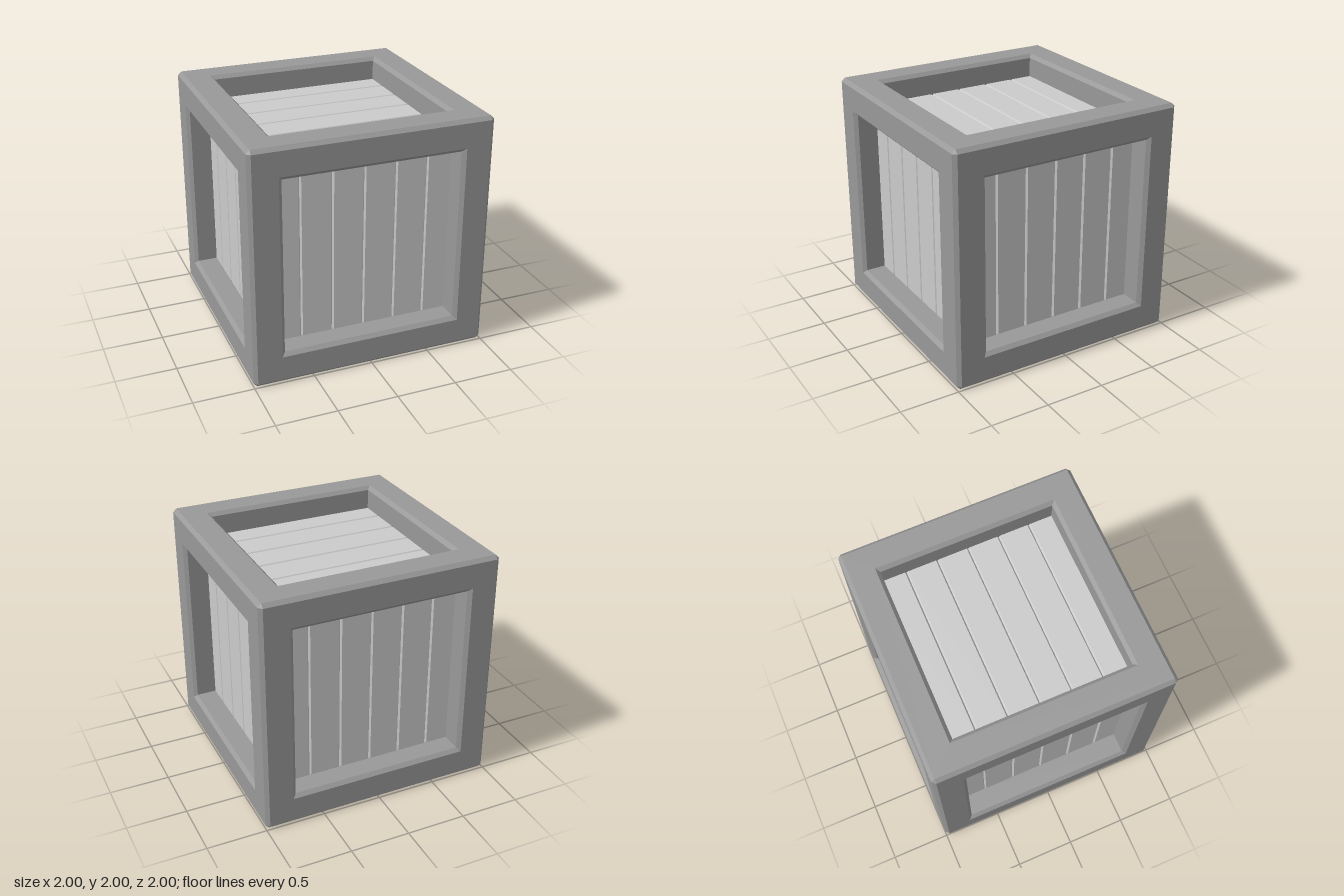
import * as THREE from 'three';

const HALF = 1;        // half the crate's size
const BEVEL = 0.03;    // chamfer on every frame edge
const OPEN = 0.735;    // half width of the recessed opening
const PANEL = 0.8;     // distance of the boards from the centre
const BOARDS = 6;

export function createModel() {
  const frameMat = new THREE.MeshStandardMaterial({ color: 0x999999, flatShading: true });
  const boardMat = new THREE.MeshStandardMaterial({ color: 0xcccccc, flatShading: true });

  const crate = new THREE.Group();
  crate.name = 'crate';
  const body = new THREE.Group();
  body.name = 'body';
  body.position.y = HALF;
  crate.add(body);

  const add = (parent, geometry, material, name) => {
    const mesh = new THREE.Mesh(geometry, material);
    mesh.name = name;
    parent.add(mesh);
    return mesh;
  };

  // Square frame ring: flat face, chamfered opening, recess wall
  const flat = HALF - BEVEL;
  const profile = [[flat, HALF], [OPEN + BEVEL, HALF], [OPEN, flat], [OPEN, PANEL - 0.03]];
  const ringGeo = new THREE.LatheGeometry(
    profile.map(([r, y]) => new THREE.Vector2(r * Math.SQRT2, y)), 4, Math.PI / 4);

  // Board with chamfered upper edges, so neighbours form V grooves
  const width = (2 * PANEL) / BOARDS, w = width / 2, cut = 0.012, drop = 0.015;
  const section = new THREE.Shape([
    [-w, -0.06], [w, -0.06], [w, -drop], [w - cut, 0], [-w + cut, 0], [-w, -drop],
  ].map(([x, y]) => new THREE.Vector2(x, y)));
  const boardGeo = new THREE.ExtrudeGeometry(section, { depth: 2 * PANEL, bevelEnabled: false });
  boardGeo.translate(0, PANEL, -PANEL).rotateY(Math.PI / 2);

  // Six sides: boards stand upright on the walls and run along x on lid and base
  const q = Math.PI / 2;
  const sides = {
    top: [0, 0, 0], bottom: [Math.PI, 0, 0],
    left: [0, 0, -q], back: [0, q, -q], right: [0, 2 * q, -q], front: [0, 3 * q, -q],
  };
  for (const [name, rotation] of Object.entries(sides)) {
    const side = new THREE.Group();
    side.name = name + 'Side';
    side.rotation.set(...rotation);
    add(side, ringGeo, frameMat, 'frameRing');
    for (let i = 0; i < BOARDS; i++) {
      add(side, boardGeo, boardMat, 'board').position.z = (i - (BOARDS - 1) / 2) * width;
    }
    body.add(side);
  }

  // Chamfer strips along the twelve outer edges
  const stripGeo = new THREE.PlaneGeometry(BEVEL * Math.SQRT2, 2 * flat);
  stripGeo.translate(0, 0, (HALF - BEVEL / 2) * Math.SQRT2).rotateY(Math.PI / 4);
  for (const axis of [[0, 0, 0], [q, 0, 0], [0, 0, q]]) {
    const edges = new THREE.Group();
    edges.name = 'edgeChamfers';
    edges.rotation.set(...axis);
    for (let k = 0; k < 4; k++) add(edges, stripGeo, frameMat, 'edgeChamfer').rotation.y = k * q;
    body.add(edges);
  }

  // Small three-sided facets closing the eight corners
  const cornerGeo = new THREE.OctahedronGeometry(BEVEL);
  for (const x of [-flat, flat]) for (const y of [-flat, flat]) for (const z of [-flat, flat]) {
    add(body, cornerGeo, frameMat, 'corner').position.set(x, y, z);
  }
  return crate;
}
